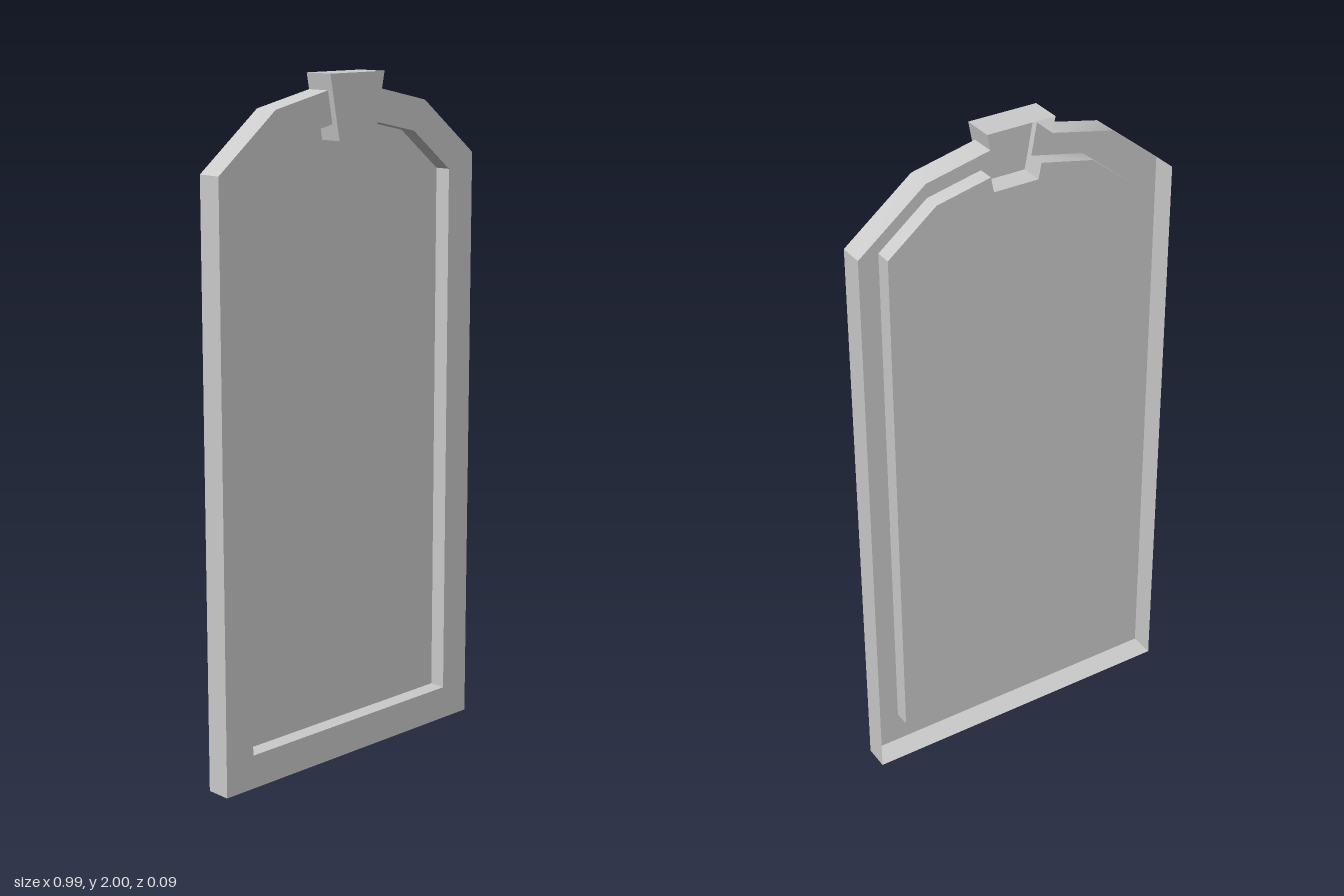
import * as THREE from 'three';
import { toCreasedNormals } from 'three/addons/utils/BufferGeometryUtils.js';

const FRONT = 0.028, BACK = -0.047, PANEL = -0.022, KEY = 0.047;

// Mirrors a right-hand half path into a full clockwise path
const mirrored = (half) => [...half, ...half.map(([x, y]) => [-x, y]).reverse()];

// Outlines, open at the top where the keystone sits
const outer = mirrored([[0.096, 1.954], [0.29, 1.911], [0.495, 1.748], [0.495, 0]]);
const inner = mirrored([[0.079, 1.861], [0.245, 1.825], [0.395, 1.705], [0.395, 0.1]]);
const key = mirrored([[0.105, 2], [0.096, 1.954], [0.079, 1.861], [0.07, 1.815]]);

// Flat sheet filling an outline at depth z
function sheet(points, z) {
  const shape = new THREE.Shape(points.map(([x, y]) => new THREE.Vector2(x, y)));
  return new THREE.ShapeGeometry(shape).translate(0, 0, z);
}

// Strip of wall along a path; backs gives the rear depth of each segment
function wall(path, front, backs) {
  const pos = [];
  for (let i = 0; i < path.length - 1; i++) {
    const [a, b] = [path[i], path[i + 1]];
    const back = Array.isArray(backs) ? backs[i] : backs;
    pos.push(...a, front, ...b, back, ...a, back, ...a, front, ...b, front, ...b, back);
  }
  const geo = new THREE.BufferGeometry();
  geo.setAttribute('position', new THREE.Float32BufferAttribute(pos, 3));
  return toCreasedNormals(geo, 0.7);
}

export function createModel() {
  const model = new THREE.Group();
  model.name = 'archedPanel';
  const material = new THREE.MeshStandardMaterial({ color: 0xcccccc, side: THREE.DoubleSide });
  const add = (name, geometry) => {
    const mesh = new THREE.Mesh(geometry, material);
    mesh.name = name;
    model.add(mesh);
  };

  // Frame shell, open at the back
  add('frameFace', sheet([...outer, ...[...inner].reverse()], FRONT));
  add('frameRim', wall(outer, FRONT, BACK));

  // Recessed panel, cut around the keystone
  add('recessWall', wall([...inner].reverse(), FRONT, PANEL));
  add('panel', sheet([...inner, [-0.07, 1.815], [0.07, 1.815]], PANEL));

  // Hollow keystone: its walls step back to meet rim, frame face and panel
  add('keystoneFace', sheet(key, KEY));
  add('keystoneWall', wall([...key, key[0]], KEY,
    [BACK, FRONT, PANEL, PANEL, PANEL, FRONT, BACK, BACK]));

  return model;
}
